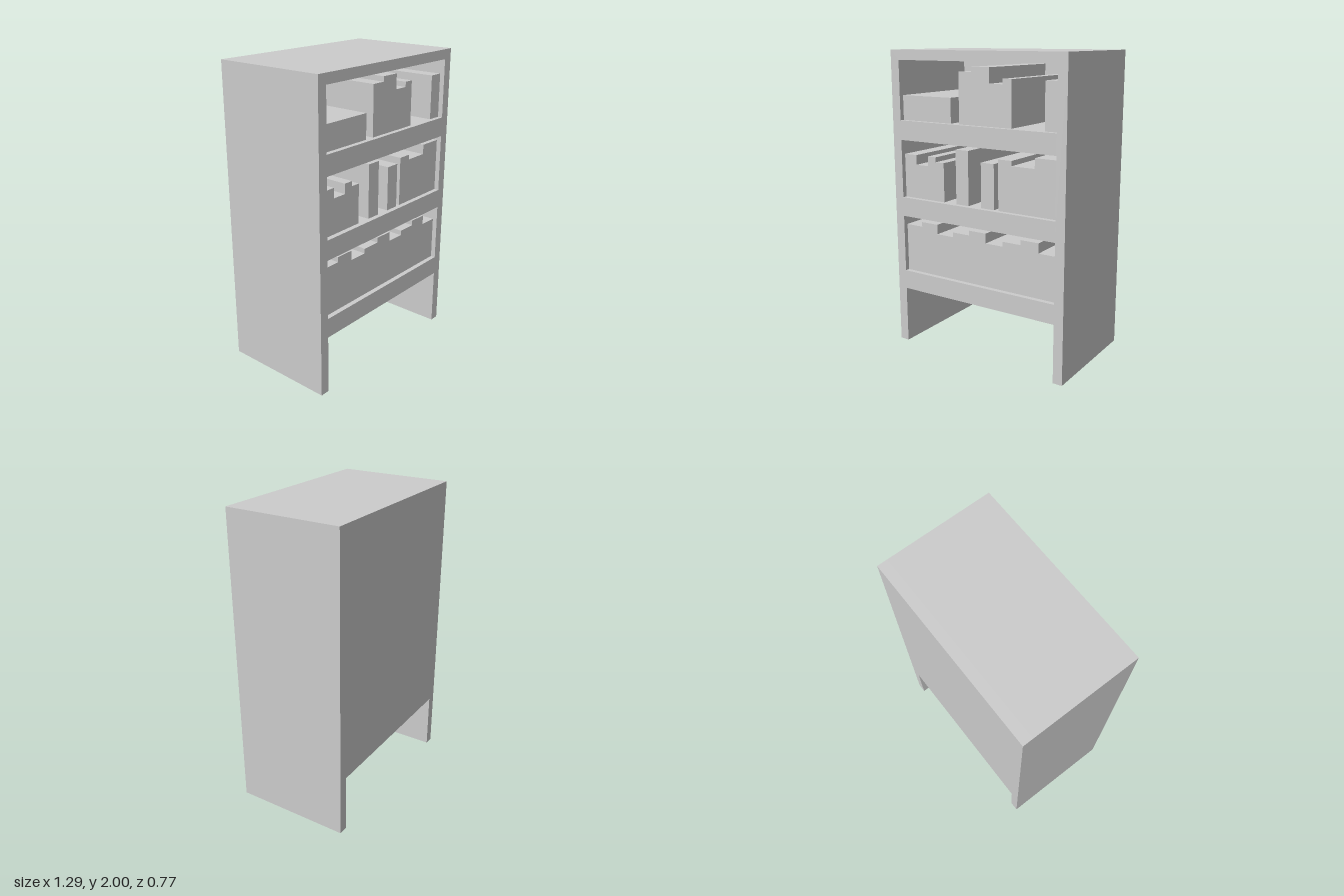
import * as THREE from 'three';

const U = 2 / 31; // module unit: the case is 20 x 31 x 12 units
const material = new THREE.MeshStandardMaterial({ color: 0xcccccc, flatShading: true });

// Each shelf: floor height and its contents as [left, right, top]
const shelves = [
  { name: 'bottomShelf', floor: 8, items: [
    [-9, -7, 13], [-7, -5, 13.5], [-5, -3, 12.5], [-3, -1, 13], [-1, 1, 13.5],
    [1, 3, 12.5], [3, 5, 13], [5, 7, 13.5], [7, 9, 12.5]] },
  { name: 'middleShelf', floor: 16, items: [
    [-9, -7.5, 20.5], [-7.5, -6, 19.5], [-6, -5, 20.5], [-5, -4, 20],
    [-2.5, -1, 21.5], [0.5, 2, 20.5], [2.5, 4, 21], [4, 6.5, 20.5], [6.5, 9, 21.5]] },
  { name: 'topShelf', floor: 24, items: [
    [-9, -3, 26.5], [-2, -0.5, 29], [-0.5, 1.5, 29.5], [1.5, 3, 28],
    [3, 4, 28.5], [7.5, 9, 28.5]] },
];
const OPENING = 6; // height of each shelf opening
const BACK = -5;   // inner face of the back panel
const FRONT = 5.5; // front of the books, slightly recessed

function polygon(Type, points) {
  return new Type(points.map(([x, y]) => new THREE.Vector2(x * U, y * U)));
}

// Case outline with the two side panels running down as legs
function caseOutline() {
  return polygon(THREE.Shape, [
    [-10, 0], [-9, 0], [-9, 6], [9, 6], [9, 0], [10, 0], [10, 31], [-10, 31]]);
}

function slab(name, shape, z0, z1) {
  const geometry = new THREE.ExtrudeGeometry(shape, { depth: (z1 - z0) * U, bevelEnabled: false });
  const mesh = new THREE.Mesh(geometry, material);
  mesh.name = name;
  mesh.position.z = z0 * U;
  return mesh;
}

export function createModel() {
  const model = new THREE.Group();
  model.name = 'bookcase';

  // Frame with sides, top and shelves, open at the front
  const frame = caseOutline();
  for (const { floor } of shelves) {
    const top = floor + OPENING;
    frame.holes.push(polygon(THREE.Path, [[-9, floor], [-9, top], [9, top], [9, floor]]));
  }
  model.add(slab('frame', frame, BACK, 6));

  // Closed back panel
  model.add(slab('backPanel', caseOutline(), -6, BACK));

  // Books and the low box on each shelf
  for (const { name, floor, items } of shelves) {
    const group = new THREE.Group();
    group.name = name + 'Books';
    for (const [left, right, top] of items) {
      const geometry = new THREE.BoxGeometry((right - left) * U, (top - floor) * U, (FRONT - BACK) * U);
      const item = new THREE.Mesh(geometry, material);
      item.name = right - left > 4 ? 'box' : 'book';
      item.position.set((left + right) / 2 * U, (top + floor) / 2 * U, (FRONT + BACK) / 2 * U);
      group.add(item);
    }
    model.add(group);
  }
  return model;
}
